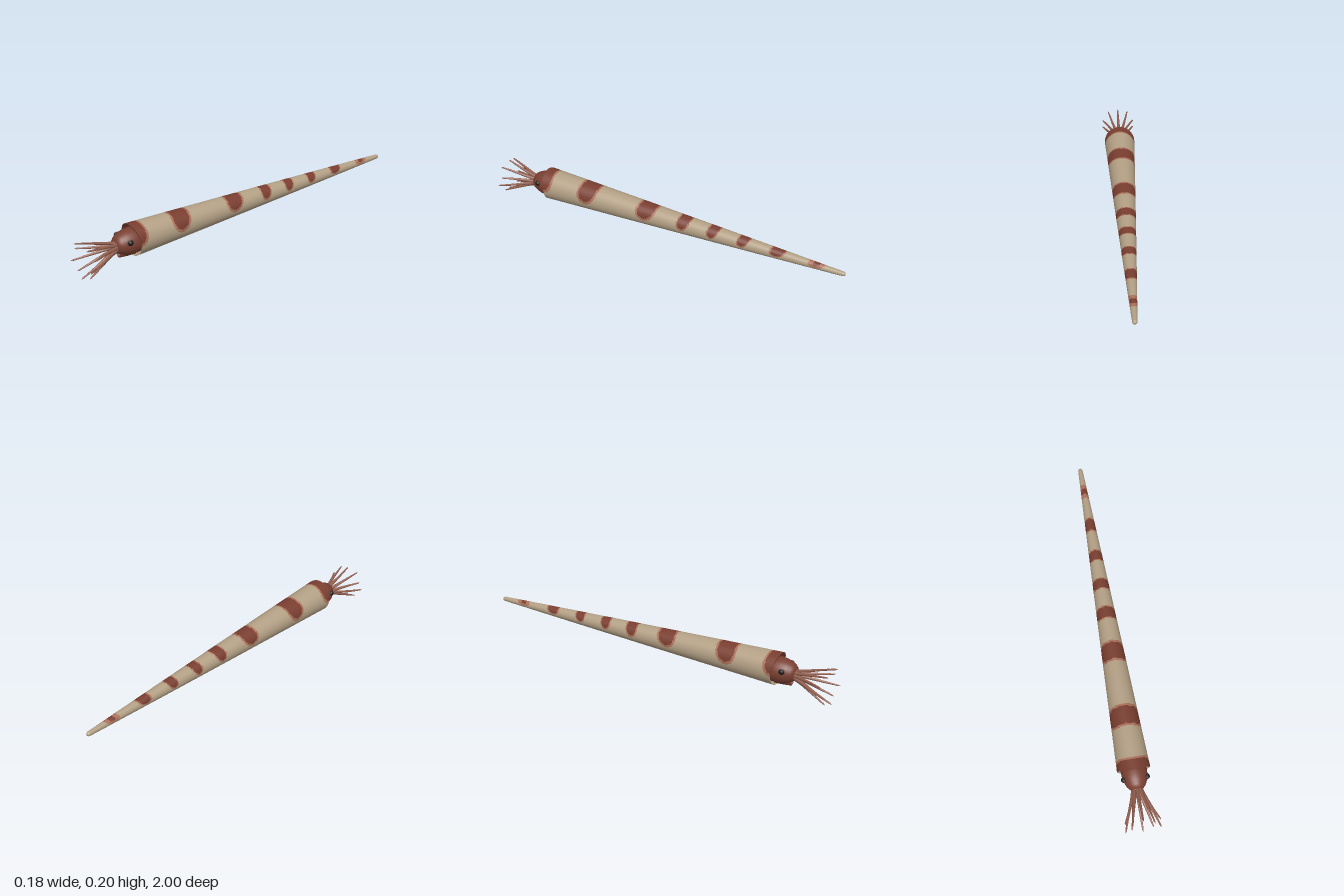
import * as THREE from 'three';

const mat = (name, color) => Object.assign(new THREE.MeshStandardMaterial({ color }), { name });
const AXIS_Y = 0.123, BACK = -1;

// Colour saddles on the shell: [centre z, half width]
const BANDS = [[0.72, 0.066], [0.435, 0.058], [0.085, 0.056], [-0.132, 0.036], [-0.298, 0.032],
  [-0.465, 0.032], [-0.65, 0.041], [-0.855, 0.04]];

// 0 = pale shell, 1 = dark saddle, 2 = lighter saddle border
function shellColour(z, a) {
  for (const [i, [zc, w]] of BANDS.entries()) {
    const shift = i ? 0.012 * Math.min(1, a / 1.4) : 0;
    const p = Math.hypot((z - zc - shift) / w, Math.max(0, (a - 0.75) / 1.0));
    if (p < (i === 7 ? 0.4 : 0.8)) return 1;
    if (p < 1) return 2;
  }
  return 0;
}

// Skin rows of [z, radius] around the axis; the mouth edge dips at the sides
function shellSkin(rows, seg) {
  const pos = [], index = [[], [], []];
  for (const [z, r] of rows) {
    for (let j = 0; j <= seg; j++) {
      const a = (j / seg) * Math.PI * 2;
      const edge = 0.009 * Math.cos(a) - 0.01 * Math.sin(a) ** 2 - 0.002;
      pos.push(r * Math.sin(a), AXIS_Y + r * Math.cos(a), z + edge * Math.max(0, (z - 0.5) / 0.215) ** 2);
    }
  }
  for (let i = 0; i < rows.length - 1; i++) {
    const z = (rows[i][0] + rows[i + 1][0]) / 2;
    for (let j = 0; j < seg; j++) {
      const a = ((j + 0.5) / seg) * Math.PI * 2;
      const p = i * (seg + 1) + j, q = p + seg + 1;
      index[shellColour(z, Math.min(a, Math.PI * 2 - a))].push(p, q, p + 1, p + 1, q, q + 1);
    }
  }
  const geo = new THREE.BufferGeometry();
  geo.setAttribute('position', new THREE.Float32BufferAttribute(pos, 3));
  geo.setIndex(index.flat());
  let start = 0;
  index.forEach((list, m) => {
    geo.addGroup(start, list.length, m);
    start += list.length;
  });
  geo.computeVertexNormals();
  // Match the normals where the skin closes on itself
  const n = geo.attributes.normal;
  for (let i = 0; i < rows.length; i++) {
    const p = i * (seg + 1), q = p + seg;
    const v = new THREE.Vector3(n.getX(p) + n.getX(q), n.getY(p) + n.getY(q), n.getZ(p) + n.getZ(q)).normalize();
    n.setXYZ(p, v.x, v.y, v.z);
    n.setXYZ(q, v.x, v.y, v.z);
  }
  return geo;
}

// Tube that narrows from its root to a rounded tip
function taperedArm(points, r0, r1) {
  const curve = new THREE.CatmullRomCurve3(points), steps = 20, sides = 8;
  const geo = new THREE.TubeGeometry(curve, steps, 1, sides);
  const pos = geo.attributes.position, v = new THREE.Vector3();
  for (let i = 0; i <= steps; i++) {
    const t = i / steps, c = curve.getPointAt(t);
    const r = i === steps ? 0.0004 : r0 + (r1 - r0) * t;
    for (let j = 0; j <= sides; j++) {
      const k = i * (sides + 1) + j;
      v.fromBufferAttribute(pos, k).sub(c).multiplyScalar(r).add(c);
      pos.setXYZ(k, v.x, v.y, v.z);
    }
  }
  geo.computeVertexNormals();
  return geo;
}

// Lathe turned so that its profile of [radius, z] runs along +z
function latheZ(profile, seg) {
  return new THREE.LatheGeometry(profile.map(([r, z]) => new THREE.Vector2(r, z)), seg).rotateX(Math.PI / 2);
}

export function createModel() {
  const model = new THREE.Group();
  const shellMat = mat('paleShell', 0xb3a085), bandMat = mat('darkSaddle', 0x793e30);
  const borderMat = mat('saddleBorder', 0xab705a), headMat = mat('headSkin', 0x7a4032);
  const armMat = mat('armSkin', 0x925f4f), eyeMat = mat('eyeBlack', 0x1d1917);
  const irisMat = mat('eyeRim', 0x4a3a2e);
  const add = (name, geo, material, parent = model) => {
    const mesh = new THREE.Mesh(geo, material);
    mesh.name = name;
    parent.add(mesh);
    return mesh;
  };
  const shellMats = [shellMat, bandMat, borderMat];

  // Long straight shell with a rounded tip
  const radius = (s) => 0.012 + 0.072 * s + 0.006 * s * (1 - s);
  const outer = [[BACK, 0.0003], [BACK + 0.002, 0.006], [BACK + 0.006, 0.0098]];
  const N = 340;
  for (let i = 0; i <= N; i++) {
    const s = i / N;
    outer.push([BACK + 0.012 + 1.703 * s, radius(s)]);
  }
  add('shell', shellSkin(outer, 96), shellMats);

  // Lip and inner wall of the shell mouth
  const inner = [[0.715, 0.084], [0.7145, 0.079]];
  for (let i = 1; i <= 12; i++) inner.push([0.7145 - 0.01 * i, 0.079 - 0.0006 * i]);
  inner.push([0.594, 0.001]);
  add('shellMouth', shellSkin(inner, 48), shellMats);

  // Head
  const head = add('head', latheZ([[0.05, 0.6], [0.062, 0.66], [0.066, 0.71], [0.064, 0.74], [0.057, 0.765],
    [0.047, 0.787], [0.036, 0.8], [0.018, 0.807], [0, 0.809]], 28), headMat);
  head.position.y = 0.119;

  // Swimming funnel below the head
  const funnel = add('funnel', latheZ([[0.03, 0], [0.026, 0.04], [0.019, 0.085], [0.014, 0.085], [0.012, 0.05],
    [0, 0.045]], 16), headMat);
  funnel.position.set(0, 0.075, 0.7);
  funnel.rotation.x = 0.06;

  // Eyes
  for (const side of [1, -1]) {
    const eye = new THREE.Group();
    eye.name = side > 0 ? 'leftEye' : 'rightEye';
    eye.position.set(side * 0.059, 0.139, 0.752);
    eye.rotation.y = side * 1.3;
    add('eyeball', new THREE.SphereGeometry(0.0135, 16, 12), eyeMat, eye);
    add('eyeRim', new THREE.TorusGeometry(0.0125, 0.0035, 8, 20), irisMat, eye);
    model.add(eye);
  }

  // Crown that carries the arms
  const crown = add('armCrown', new THREE.SphereGeometry(0.027, 20, 12), armMat);
  crown.scale.z = 0.6;
  crown.position.set(0, 0.113, 0.803);

  // Arms, spreading from the crown: tip [x, y, z], mirrored when off centre
  const tips = [[0, 0.188, 0.97], [0.056, 0.168, 0.985], [0.09, 0.123, 0.962], [0.09, 0.066, 0.99],
    [0.055, 0.021, 0.975], [0, 0.003, 0.988]];
  for (const [x, y, z] of tips) {
    for (const side of x ? [1, -1] : [1]) {
      const dx = x * side, dy = y - 0.113, len = Math.hypot(dx, dy);
      const at = (f, zz) => new THREE.Vector3((dx / len) * f, 0.113 + (dy / len) * f, zz);
      const path = [at(0.018, 0.795), at(0.018 + (len - 0.018) * 0.22, 0.845),
        at(0.018 + (len - 0.018) * 0.58, 0.91), at(len, z + 0.01)];
      add('arm', taperedArm(path, 0.0095, 0.0035), armMat);
    }
  }
  return model;
}
